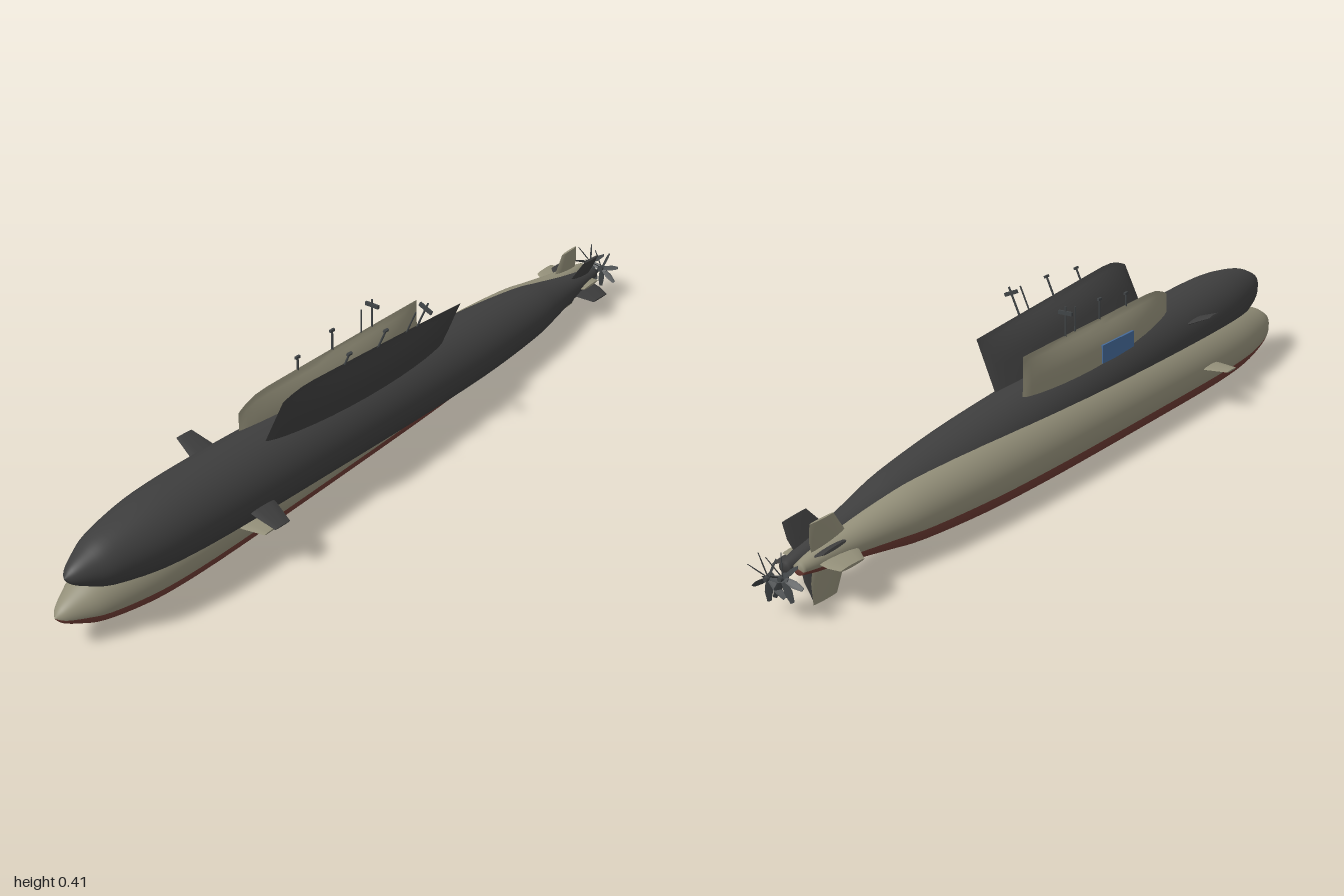
import * as THREE from 'three';
import { toCreasedNormals } from 'three/addons/utils/BufferGeometryUtils.js';

const mat = (name, color) => Object.assign(new THREE.MeshStandardMaterial({ color }), { name });

const tan = mat('tan', 0x938f79);
const red = mat('red', 0x703d35);
const dark = mat('charcoal', 0x3e3e3e);
const metal = mat('gunmetal', 0x404446);
const blue = mat('blue', 0x456a99);

function add(parent, name, geometry, material) {
  const mesh = new THREE.Mesh(geometry, material);
  mesh.name = name;
  parent.add(mesh);
  return mesh;
}

// Skin over closed rings of [x, y, z] points, capped at the last ring
function loft(rings, crease = 0.6) {
  const n = rings[0].length, index = [];
  for (let i = 0; i < rings.length - 1; i++) {
    for (let j = 0; j < n; j++) {
      const a = i * n + j, b = i * n + (j + 1) % n;
      index.push(a, b, b + n, a, b + n, a + n);
    }
  }
  const last = (rings.length - 1) * n;
  for (let j = 1; j < n - 1; j++) index.push(last, last + j, last + j + 1);
  const g = new THREE.BufferGeometry();
  g.setAttribute('position', new THREE.Float32BufferAttribute(rings.flat(2), 3));
  g.setIndex(index);
  return toCreasedNormals(g, crease);
}

// Fin rising along +y; each station is [height, rear z, front z, half thickness]
function fin(stations) {
  return loft(stations.map(([y, z0, z1, t]) => {
    const ring = [];
    for (let j = 0; j < 12; j++) {
      const a = j / 12 * Math.PI * 2;
      ring.push([t * Math.sin(a), y, (z0 + z1) / 2 + (z1 - z0) / 2 * Math.cos(a)]);
    }
    return ring;
  }));
}

// Streamlined sail: lens-shaped plan, sides closing to a ridge at the top
function sailGeometry() {
  const rings = [], N = 32;
  for (const t of [0, 0.3, 0.55, 0.66, 0.76, 0.85, 0.92, 0.97, 1]) {
    const arch = t < 0.55 ? 1 : Math.max(0.06, 1 - ((t - 0.55) / 0.45) ** 2);
    const ring = [];
    for (let j = 0; j < N; j++) {
      const a = j / N * Math.PI * 2, s = Math.cos(a);
      const top = s > 0.75 ? 0.23 - 0.022 * ((s - 0.75) / 0.25) ** 2 : 0.23 - 0.013 * (0.75 - s) / 1.75;
      const half = 0.028 * Math.sign(Math.sin(a)) * Math.pow(Math.abs(Math.sin(a)), 1.3);
      ring.push([half * arch, 0.05 + (top - 0.05) * t, 0.13 + (0.322 - 0.006 * t) * s]);
    }
    rings.push(ring);
  }
  return loft(rings, 0.7);
}

// Hull of revolution along z; angles are measured from the keel
function hullGeometry(start, length) {
  const profile = new THREE.SplineCurve([
    [0.013, -0.945], [0.022, -0.9], [0.036, -0.8], [0.053, -0.7], [0.069, -0.6], [0.084, -0.4],
    [0.09, -0.2], [0.092, 0], [0.0925, 0.3], [0.092, 0.55], [0.088, 0.7], [0.079, 0.8],
    [0.059, 0.9], [0.038, 0.95], [0.018, 0.985], [0, 1],
  ].map(([r, z]) => new THREE.Vector2(r, z))).getPoints(60);
  profile.forEach(p => { p.x = Math.max(0, p.x); });
  const points = [new THREE.Vector2(0, -0.945), ...profile];
  return new THREE.LatheGeometry(points, Math.round(length * 10), start, length).rotateX(Math.PI / 2);
}

function mast(parent, z, top, radius) {
  const g = new THREE.CylinderGeometry(radius, radius, top - 0.19, 8);
  add(parent, 'mast', g, metal).position.set(0, (top + 0.19) / 2, z);
}

function submarine(name, body, bottom, hasPanel) {
  const sub = new THREE.Group();
  sub.name = name;

  // Hull with painted lower part
  const half = THREE.MathUtils.degToRad(72);
  add(sub, 'lowerHull', hullGeometry(-half, 2 * half), bottom);
  add(sub, 'upperHull', hullGeometry(half, 2 * Math.PI - 2 * half), body);

  // Sail, side panels and masts
  add(sub, 'sail', sailGeometry(), body);
  if (hasPanel) {
    for (const s of [-1, 1]) {
      add(sub, 'sailPanel', new THREE.BoxGeometry(0.006, 0.045, 0.14), blue).position.set(s * 0.027, 0.148, 0.17);
    }
  }
  mast(sub, 0.25, 0.26, 0.0025);
  mast(sub, 0.13, 0.275, 0.0025);
  mast(sub, 0.025, 0.28, 0.002);
  mast(sub, -0.015, 0.29, 0.0025);
  add(sub, 'antennaBar', new THREE.BoxGeometry(0.037, 0.009, 0.006), metal).position.set(0, 0.275, -0.015);
  for (const [y, z] of [[0.257, 0.25], [0.272, 0.13]]) {
    add(sub, 'mastHead', new THREE.BoxGeometry(0.006, 0.006, 0.014), metal).position.set(0, y, z);
  }

  // Bow planes
  for (const s of [-1, 1]) {
    const g = fin([[0.05, 0.478, 0.562, 0.004], [0.1, 0.485, 0.557, 0.004], [0.152, 0.497, 0.545, 0.002]]);
    add(sub, 'bowPlane', g.rotateZ(s * Math.PI / 2), body).position.y = 0.012;
  }

  // Cross-shaped tail fins: top, left, bottom, right
  [0.08, 0.075, 0.092, 0.075].forEach((span, i) => {
    const g = fin([[0.01, -0.905, -0.79, 0.005], [0.045, -0.912, -0.815, 0.005], [span, -0.908, -0.838, 0.003]]);
    add(sub, i % 2 ? 'sternPlane' : 'rudder', g.rotateZ(i * Math.PI / 2), body);
  });

  // Propeller
  const prop = new THREE.Group();
  prop.name = 'propeller';
  prop.position.z = -0.99;
  add(prop, 'hub', new THREE.CylinderGeometry(0.008, 0.005, 0.02, 12).rotateX(Math.PI / 2), metal);
  for (let i = 0; i < 7; i++) {
    const g = fin([[0.004, -0.005, 0.005, 0.0012], [0.03, -0.008, 0.008, 0.0012], [0.052, -0.004, 0.004, 0.0008]]);
    add(prop, 'blade', g.rotateY(0.8).rotateZ(i / 7 * Math.PI * 2), metal);
  }
  sub.add(prop);
  return sub;
}

export function createModel() {
  const model = new THREE.Group();
  model.name = 'submarinePair';

  // Upright two-tone boat
  const lower = submarine('tanSubmarine', tan, red, true);
  lower.position.set(-0.015, 0.095, 0);
  model.add(lower);

  // Dark boat, rolled to its left with the bow raised
  const upper = submarine('darkSubmarine', dark, dark, false);
  upper.position.set(0.021, 0.146, -0.003);
  upper.rotation.set(-0.06, 0, -THREE.MathUtils.degToRad(22));
  model.add(upper);
  return model;
}
